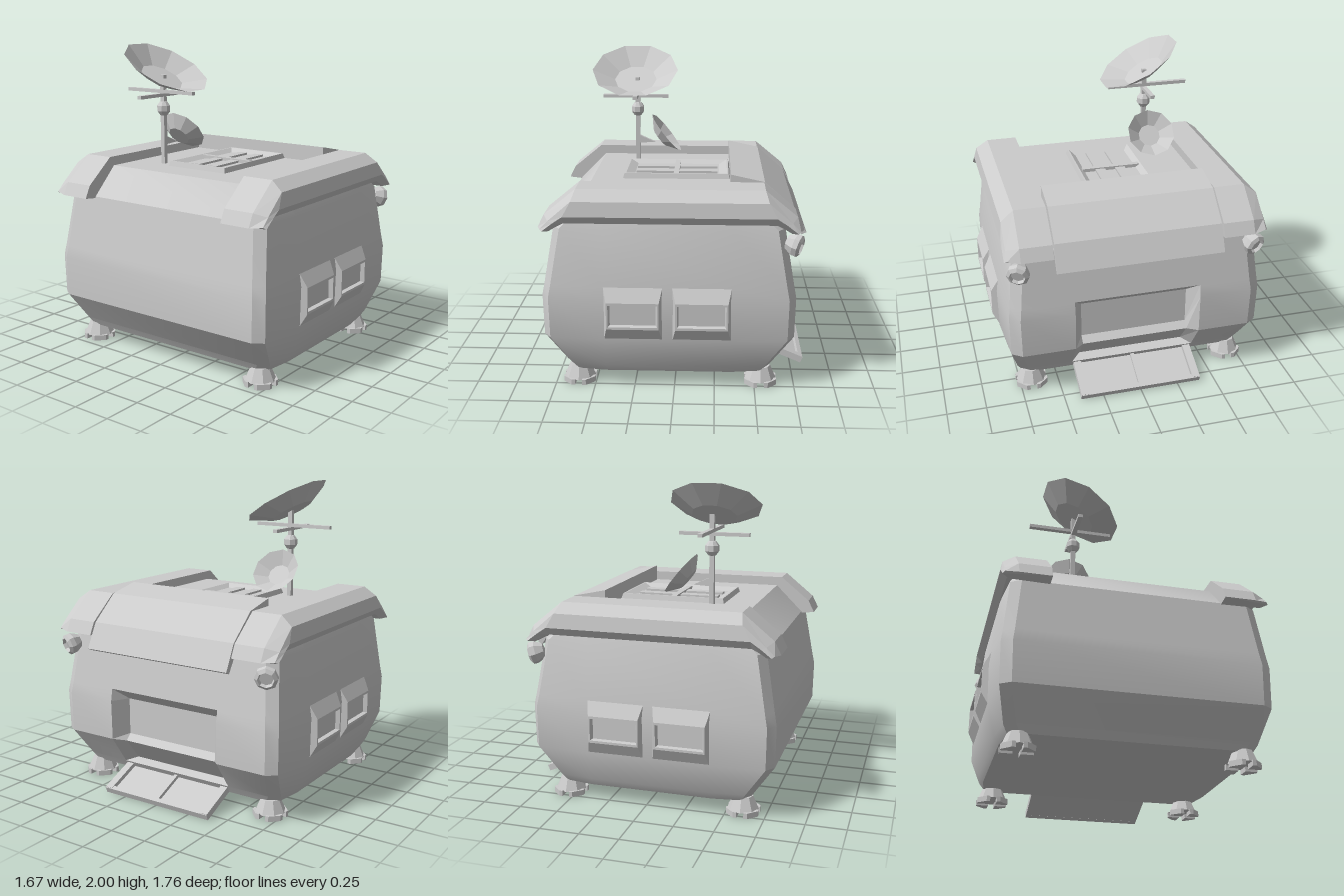
import * as THREE from 'three';
import { toCreasedNormals } from 'three/addons/utils/BufferGeometryUtils.js';

const flat = new THREE.MeshStandardMaterial({ color: 0xcccccc, flatShading: true, side: THREE.DoubleSide });
const smooth = new THREE.MeshStandardMaterial({ color: 0xcccccc, side: THREE.DoubleSide });
const CX = -0.035; // centre line of the cabin

function add(parent, name, geometry, x = 0, y = 0, z = 0, material = flat) {
  const m = new THREE.Mesh(geometry, material);
  m.name = name;
  m.position.set(x, y, z);
  parent.add(m);
  return m;
}
const box = (w, h, d) => new THREE.BoxGeometry(w, h, d);

// Skin a list of equal-length cross-sections; ring closes each section,
// caps fills the two ends formed by the first and last point of every section.
function loft(sections, { ring = false, caps = false, skip = () => false } = {}) {
  const pos = [], n = sections[0].length;
  for (let r = 0; r < sections.length - 1; r++)
    for (let i = 0; i < (ring ? n : n - 1); i++) {
      if (skip(r, i)) continue;
      const j = (i + 1) % n;
      const [a, b, c, d] = [sections[r][i], sections[r][j], sections[r + 1][j], sections[r + 1][i]];
      pos.push(...a, ...d, ...c, ...a, ...c, ...b);
    }
  if (caps)
    for (const k of [0, n - 1])
      for (let r = 1; r < sections.length - 1; r++) {
        const tri = [sections[0][k], sections[r][k], sections[r + 1][k]];
        if (k === 0) tri.reverse();
        tri.forEach(p => pos.push(...p));
      }
  const g = new THREE.BufferGeometry();
  g.setAttribute('position', new THREE.Float32BufferAttribute(pos, 3));
  g.computeVertexNormals();
  return g;
}

// Extrude an x-y outline, centred along z
function slab(points, depth) {
  const g = new THREE.ExtrudeGeometry(new THREE.Shape(points.map(p => new THREE.Vector2(...p))), { depth, bevelEnabled: false });
  return g.translate(0, 0, -depth / 2);
}

// Raised bevelled frame with a sunken panel, facing +z; levels are [width, height, z]
function panelFrame(levels) {
  const rect = ([w, h, z]) => [[-w / 2, -h / 2, z], [-w / 2, h / 2, z], [w / 2, h / 2, z], [w / 2, -h / 2, z]];
  return loft([...levels, [0, 0, levels.at(-1)[2]]].map(rect), { ring: true });
}

// Shallow dish opening along +y
function dish(parent, name, radius, base, depth, normal, x, y, z) {
  const pts = [[0, -depth], [base, -depth], [radius, 0]].map(p => new THREE.Vector2(...p));
  const m = add(parent, name, new THREE.LatheGeometry(pts, 10, Math.PI / 10), x, y, z);
  m.quaternion.setFromUnitVectors(new THREE.Vector3(0, 1, 0), new THREE.Vector3(...normal).normalize());
}

export function createModel() {
  const root = new THREE.Group();
  root.name = 'cabin';

  // Hull: rows of [y, half width, half depth]
  const rows = [[0.10, 0.615, 0.76], [0.15, 0.645, 0.79], [0.34, 0.775, 0.84], [0.60, 0.78, 0.845],
    [0.68, 0.765, 0.835], [1.03, 0.705, 0.80], [1.21, 0.525, 0.74]];
  const ringAt = ([y, hx, hz]) => [
    [hx, 0.09 - hz], [hx, -0.41], [hx, 0.41], [hx, hz - 0.09], [hx - 0.045, hz - 0.025], [0.39, hz], [-0.39, hz],
    [0.045 - hx, hz - 0.025], [-hx, hz - 0.09], [-hx, 0.09 - hz], [0.045 - hx, 0.025 - hz], [-0.39, -hz], [0.39, -hz],
    [hx - 0.045, 0.025 - hz]].map(([x, z]) => [x + CX, y, z]);
  const rings = rows.map(ringAt);
  const centre = y => rings[0].map(() => [CX, y, 0]);
  const hull = loft([centre(0.10), ...rings, centre(1.21)], { ring: true, skip: (r, i) => i === 1 && r >= 2 && r <= 4 });
  add(root, 'hull', toCreasedNormals(hull, 0.5), 0, 0, 0, smooth);

  // Doorway recess in the +x side
  const outer = z => rows.slice(1, 5).map(([y, hx]) => [hx + CX, y, z]);
  const inner = z => [[0.55, 0.17], [0.67, 0.32], [0.63, 0.36], [0.63, 0.60]].map(([x, y]) => [x, y, z]);
  add(root, 'doorway', loft([outer(0.41), inner(0.35), inner(-0.35), outer(-0.41)], { caps: true }));

  // Hoods over the front and back ends of the roof
  const arch = (half, low, mid, midY, top, topY, z) =>
    [[-half, low], [-mid, midY], [-top, topY], [top, topY], [mid, midY], [half, low]].map(([x, y]) => [x + CX + 0.01, y, z]);
  const hood = loft([
    arch(0.805, 1.03, 0.765, 1.11, 0.57, 1.27, 0.54),
    arch(0.805, 1.03, 0.765, 1.11, 0.57, 1.27, 0.74),
    arch(0.78, 1.04, 0.73, 1.09, 0.59, 1.21, 0.82),
    arch(0.765, 1.03, 0.70, 1.08, 0.64, 1.12, 0.835),
    arch(0.73, 1.02, 0.69, 1.045, 0.64, 1.07, 0.795),
    arch(0.72, 1.02, 0.66, 1.06, 0.53, 1.19, 0.54),
    arch(0.805, 1.03, 0.765, 1.11, 0.57, 1.27, 0.54)], { caps: true });
  add(root, 'frontHood', hood);
  add(root, 'backHood', hood.clone().rotateY(Math.PI).translate(2 * (CX + 0.01), 0, 0));

  // Awning over the doorway
  add(root, 'awning', slab([[0.34, 1.2], [0.53, 1.2], [0.70, 1.07], [0.785, 0.935], [0.815, 0.95],
    [0.735, 1.11], [0.55, 1.27], [0.34, 1.315]], 1.06));

  // Two windows on each end
  const pane = panelFrame([[0.36, 0.34, 0], [0.32, 0.17, 0.045], [0.30, 0.14, 0.045], [0.28, 0.13, 0.018]]);
  for (const s of [1, -1])
    for (const x of [-0.25, 0.17]) {
      const w = add(root, s > 0 ? 'frontWindow' : 'backWindow', pane, x, 0.51, s * 0.835);
      if (s < 0) w.rotation.y = Math.PI;
    }

  // Roof hatch with slats
  const hatch = add(root, 'roofHatch', panelFrame([[0.70, 0.46, 0], [0.68, 0.44, 0.035], [0.66, 0.42, 0.035], [0.56, 0.35, 0.01]]), -0.01, 1.208, -0.005);
  hatch.rotation.x = -Math.PI / 2;
  for (const z of [-0.07, 0.065]) add(root, 'hatchSlat', box(0.54, 0.02, 0.065), -0.013, 1.222, z);
  add(root, 'hatchDivider', box(0.035, 0.03, 0.39), -0.012, 1.225, -0.01);

  // Folding ramp below the doorway
  const ramp = new THREE.Group();
  ramp.name = 'ramp';
  ramp.position.set(0.57, 0.115, 0);
  ramp.rotation.z = -0.4;
  root.add(ramp);
  add(ramp, 'rampPanel', box(0.27, 0.015, 0.8), 0.135, 0, 0);
  for (const z of [-0.375, 0.375]) add(ramp, 'rampRail', box(0.27, 0.04, 0.05), 0.135, 0.015, z);
  add(ramp, 'rampDivider', box(0.27, 0.035, 0.025), 0.135, 0.012, 0);
  add(ramp, 'rampEnd', box(0.03, 0.04, 0.8), 0.26, 0.012, 0);

  // Feet: tapered collar on four toes
  const toe = slab([[0.022, 0.022], [0.1, 0.022], [0.1, 0.045], [0.045, 0.1], [0.022, 0.1]], 0.035).rotateX(-Math.PI / 2);
  for (const x of [-0.605, 0.54])
    for (const z of [-0.675, 0.675]) {
      const foot = new THREE.Group();
      foot.name = 'foot';
      foot.position.set(x, 0, z);
      root.add(foot);
      add(foot, 'footCollar', new THREE.CylinderGeometry(0.062, 0.098, 0.085, 8), 0, 0.072, 0);
      for (let k = 0; k < 4; k++) add(foot, 'footToe', toe, 0, 0.0175, 0).rotation.y = k * Math.PI / 2;
    }

  // Round lamps at the upper corners of the doorway side
  const lampProfile = [[0, -0.06], [0.045, -0.05], [0.072, 0], [0.072, 0.03], [0.05, 0.045], [0.042, 0.025], [0, 0.025]];
  const lamp = new THREE.LatheGeometry(lampProfile.map(p => new THREE.Vector2(...p)), 8, Math.PI / 8);
  for (const s of [1, -1]) {
    const m = add(root, 'lamp', lamp, 0.725, 0.94, s * 0.75);
    m.quaternion.setFromUnitVectors(new THREE.Vector3(0, 1, 0), new THREE.Vector3(0.88, -0.25, s * 0.35).normalize());
  }

  // Antenna mast with crossbars and two dishes
  const mast = new THREE.Group();
  mast.name = 'antenna';
  mast.position.set(-0.302, 0, -0.32);
  root.add(mast);
  add(mast, 'mast', box(0.03, 0.6, 0.03), 0, 1.5, 0);
  const joint = [[0, -0.05], [0.025, -0.045], [0.045, -0.018], [0.045, 0.018], [0.025, 0.045], [0, 0.05]];
  add(mast, 'mastJoint', new THREE.LatheGeometry(joint.map(p => new THREE.Vector2(...p)), 8, Math.PI / 8), 0, 1.58, 0);
  add(mast, 'crossbarWide', box(0.455, 0.022, 0.03), -0.013, 1.67, 0);
  add(mast, 'crossbarDeep', box(0.03, 0.022, 0.55), 0, 1.692, -0.022);
  add(mast, 'dishBracket', slab([[0, 1.40], [0.03, 1.385], [0.12, 1.345], [0.02, 1.34], [0, 1.34]], 0.03));
  dish(root, 'largeDish', 0.295, 0.145, 0.08, [0, 0.865, 0.5], -0.315, 1.855, -0.28);
  dish(root, 'smallDish', 0.162, 0.075, 0.06, [0.78, 0.625, 0], -0.1, 1.412, -0.32);

  return root;
}
